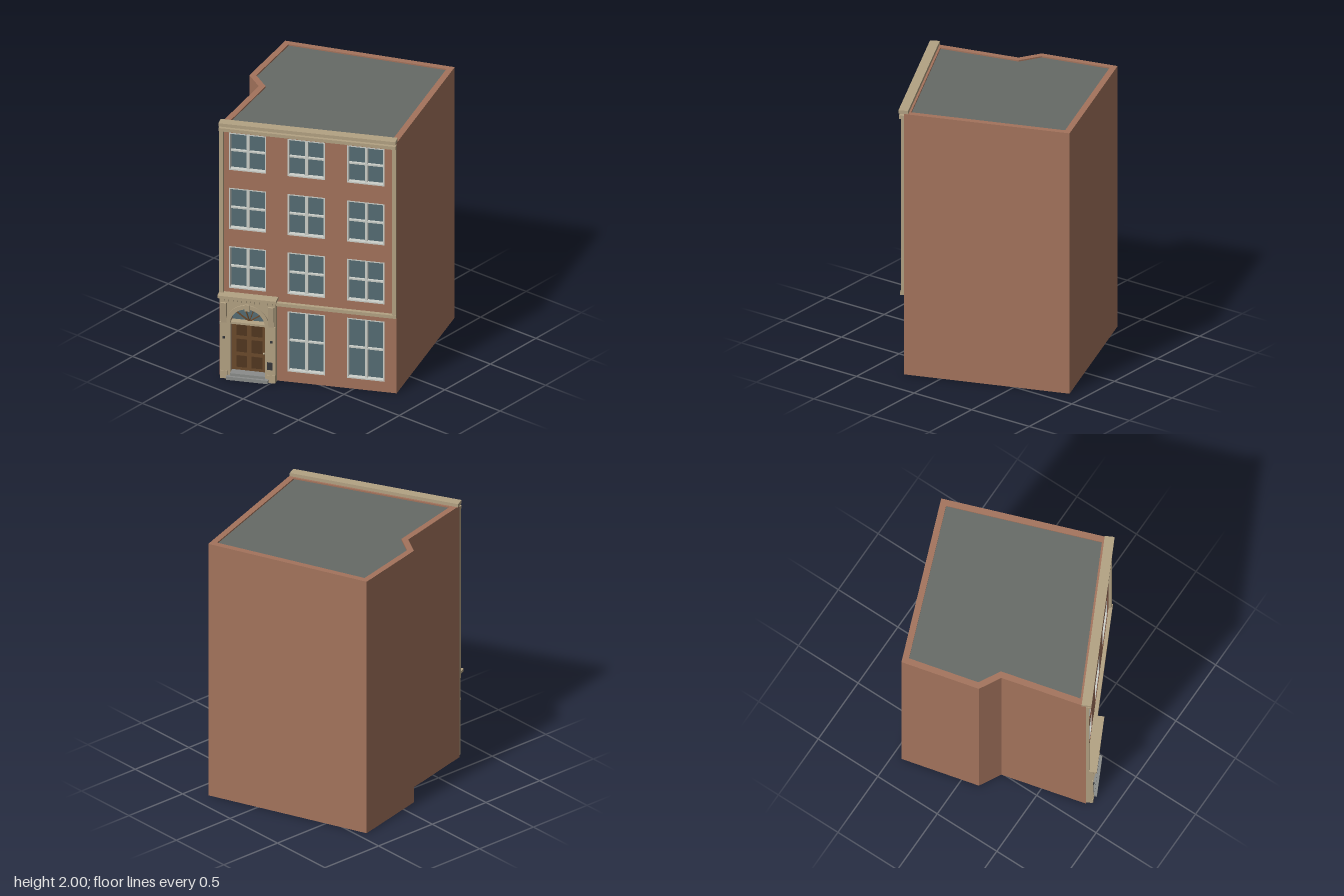
import * as THREE from 'three';

const mat = (color) => new THREE.MeshStandardMaterial({ color, flatShading: true });
const brick = mat(0xa3735c), stone = mat(0xb3a283), roofGrey = mat(0x666a66), glass = mat(0x566c74),
  white = mat(0xcdd0ca), wood = mat(0x6b4a2c), darkWood = mat(0x523720), stepGrey = mat(0x8a8c8a), iron = mat(0x34363a);

const TOP = 1.975, T = 0.045;
// ground plan corners (x, z), running from one end of the facade round the back to the other
const PLAN = [[-0.82, -0.36], [-0.21, -0.51], [-0.125, -0.665], [0.435, -0.8], [0.88, 0.365], [-0.255, 0.775]]
  .map((p) => new THREE.Vector2(...p));
const A = PLAN[0], B = PLAN[5], L = A.distanceTo(B);

const mesh = (parent, name, geometry, material) => {
  const m = new THREE.Mesh(geometry, material);
  m.name = name;
  parent.add(m);
  return m;
};

// box given by its ranges along the facade (u), upward (y) and outward (n)
function block(parent, name, u0, u1, y0, y1, n0, n1, material) {
  const m = mesh(parent, name, new THREE.BoxGeometry(u1 - u0, y1 - y0, n1 - n0), material);
  m.position.set((u0 + u1) / 2, (y0 + y1) / 2, (n0 + n1) / 2);
  return m;
}

// flat outline extruded outward from n0 to n1
function slab(parent, name, shape, n0, n1, material) {
  const g = new THREE.ExtrudeGeometry(shape, { depth: n1 - n0, bevelEnabled: false, curveSegments: 20 });
  return mesh(parent, name, g.translate(0, 0, n0), material);
}

// plan outline extruded between two heights
function raised(parent, name, points, y0, y1, material) {
  const g = new THREE.ExtrudeGeometry(new THREE.Shape(points), { depth: y1 - y0, bevelEnabled: false });
  return mesh(parent, name, g.rotateX(Math.PI / 2).translate(0, y1, 0), material);
}

const rectPath = (u0, u1, y0, y1, Type = THREE.Path) =>
  new Type([[u0, y0], [u1, y0], [u1, y1], [u0, y1]].map((p) => new THREE.Vector2(...p)));

// line through p and q moved inward by d
function offsetLine(p, q, d) {
  const dir = q.clone().sub(p).normalize();
  return { p: p.clone().add(new THREE.Vector2(-dir.y, dir.x).multiplyScalar(d)), dir };
}
function meet(a, b) {
  const t = b.p.clone().sub(a.p).cross(b.dir) / a.dir.cross(b.dir);
  return a.p.clone().addScaledVector(a.dir, t);
}

// arched doorway
const DOOR = { u: 0.21, r: 0.125, spring: 0.435 };
function wallWithDoorway(u0, u1, top) {
  const s = new THREE.Shape(), { u, r, spring } = DOOR;
  s.moveTo(u0, 0);
  s.lineTo(u - r, 0);
  s.lineTo(u - r, spring);
  s.absarc(u, spring, r, Math.PI, 0, true);
  s.lineTo(u + r, 0);
  s.lineTo(u1, 0);
  s.lineTo(u1, top);
  s.lineTo(u0, top);
  return s;
}

function addWindow(parent, u0, u1, y0, y1) {
  const g = new THREE.Group();
  g.name = 'window';
  parent.add(g);
  const frame = rectPath(u0, u1, y0, y1, THREE.Shape);
  frame.holes.push(rectPath(u0 + 0.01, u1 - 0.01, y0 + 0.01, y1 - 0.01));
  slab(g, 'windowFrame', frame, -0.04, -0.002, white);
  block(g, 'windowGlass', u0, u1, y0, y1, -0.043, -0.036, glass);
  const um = (u0 + u1) / 2, ym = (y0 + y1) / 2;
  block(g, 'mullion', um - 0.01, um + 0.01, y0, y1, -0.037, -0.015, white);
  block(g, 'meetingRail', u0, u1, ym - 0.006, ym + 0.006, -0.037, -0.018, white);
}

function addDoorway(parent) {
  const g = new THREE.Group(), { u, r, spring } = DOOR;
  g.name = 'doorway';
  parent.add(g);
  slab(g, 'doorSurround', wallWithDoorway(0.01, 0.41, 0.6), 0, 0.04, stone);

  // moulded arch and keystone
  const ring = new THREE.Shape();
  ring.absarc(u, spring, r + 0.03, 0, Math.PI, false);
  ring.absarc(u, spring, r, Math.PI, 0, true);
  slab(g, 'archMoulding', ring, 0.03, 0.05, stone);
  block(g, 'keystone', u - 0.018, u + 0.018, 0.55, 0.6, 0.03, 0.06, stone);

  // entablature, dentils and canopy
  block(g, 'entablature', 0.01, 0.41, 0.595, 0.64, 0, 0.05, stone);
  for (let i = 0; i < 12; i++) {
    const d = 0.03 + i * 0.031;
    block(g, 'dentil', d, d + 0.018, 0.615, 0.64, 0.045, 0.062, stone);
  }
  block(g, 'canopy', 0, 0.42, 0.64, 0.66, 0, 0.076, stone);

  // piers, plinths, imposts and consoles on both sides
  for (const side of [-1, 1]) {
    const c = u + side * 0.17;
    block(g, 'pier', c - 0.022, c + 0.022, 0, 0.43, 0.03, 0.046, stone);
    block(g, 'plinth', c - 0.028, c + 0.028, 0, 0.06, 0.03, 0.05, stone);
    block(g, 'impost', c - 0.03, c + 0.03, 0.425, 0.442, 0.03, 0.052, stone);
    const console3 = block(g, 'console', c - 0.02, c + 0.02, 0.44, 0.6, 0.03, 0.066, stone);
    // taper the console toward its foot
    const p = console3.geometry.attributes.position;
    for (let i = 0; i < p.count; i++) if (p.getY(i) < 0 && p.getZ(i) > 0) p.setZ(i, 0.004);
    block(g, 'bell', c - 0.008, c + 0.008, 0.315, 0.331, 0.04, 0.054, iron);
  }
  block(g, 'letterBox', 0.35, 0.39, 0.105, 0.16, 0.04, 0.055, iron);

  // door with raised panels
  block(g, 'door', u - r, u + r, 0.04, spring, -0.044, -0.014, wood);
  for (const side of [-1, 1]) {
    for (const [y0, y1] of [[0.07, 0.16], [0.19, 0.29], [0.32, 0.41]]) {
      const c = u + side * 0.055;
      block(g, 'doorPanel', c - 0.038, c + 0.038, y0, y1, -0.016, -0.009, darkWood);
    }
  }
  const knob = mesh(g, 'doorKnob', new THREE.SphereGeometry(0.008, 10, 8), stone);
  knob.position.set(u + 0.105, 0.195, -0.008);
  block(g, 'transom', u - r, u + r, spring - 0.01, spring + 0.006, -0.044, 0.03, stone);

  // fanlight
  const fan = new THREE.Shape();
  fan.absarc(u, spring, r, 0, Math.PI, false);
  slab(g, 'fanlight', fan, -0.04, -0.02, glass);
  for (let i = 1; i < 5; i++) {
    const bar = new THREE.BoxGeometry(r, 0.007, 0.012).translate(r / 2, 0, 0);
    const m = mesh(g, 'fanlightBar', bar, wood);
    m.position.set(u, spring, -0.016);
    m.rotation.z = (i * Math.PI) / 5;
  }

  // steps
  block(g, 'lowerStep', 0.06, 0.36, 0, 0.026, -0.045, 0.07, stepGrey);
  block(g, 'upperStep', u - r, u + r, 0.026, 0.046, -0.045, 0.052, stepGrey);
}

export function createModel() {
  const root = new THREE.Group();
  root.name = 'townHouse';

  // hollow outer walls and flat roof
  const facadeLine = offsetLine(B, A, 0);
  const lines = PLAN.slice(0, 5).map((p, i) => offsetLine(p, PLAN[i + 1], T));
  const inner = [facadeLine, ...lines].map((l, i) => meet(l, i < 5 ? lines[i] : facadeLine));
  raised(root, 'sideAndRearWalls', [...PLAN, ...inner.slice().reverse()], 0, TOP, brick);
  raised(root, 'roof', inner, 1.945, 1.965, roofGrey);

  // facade frame: x runs along the street, z points outward
  const facade = new THREE.Group();
  facade.name = 'facade';
  facade.position.set(A.x, 0, A.y);
  facade.rotation.y = -Math.atan2(B.y - A.y, B.x - A.x);
  root.add(facade);

  const wall = wallWithDoorway(0.02, L - 0.004, TOP);
  const rows = [[0.08, 0.555], [0.69, 1.02], [1.155, 1.48], [1.62, 1.915]];
  rows.forEach(([y0, y1], floor) => {
    [0.065, 0.485, 0.912].forEach((u0, column) => {
      if (floor === 0 && column === 0) return;
      wall.holes.push(rectPath(u0, u0 + 0.268, y0, y1));
      addWindow(facade, u0, u0 + 0.268, y0, y1);
    });
  });
  slab(facade, 'facadeWall', wall, -T, 0, brick);

  // stone trim
  block(facade, 'leftStrip', 0, 0.03, 0.66, 1.94, 0, 0.022, stone);
  block(facade, 'rightStrip', L - 0.03, L, 0.6, 1.94, 0, 0.022, stone);
  block(facade, 'stringCourse', 0.4, L, 0.6, 0.625, 0, 0.027, stone);
  block(facade, 'lowerCornice', 0, L, 1.936, 1.961, 0, 0.036, stone);
  block(facade, 'cornice', 0, L, 1.975, 2, -0.03, 0.039, stone);

  addDoorway(facade);
  return root;
}
